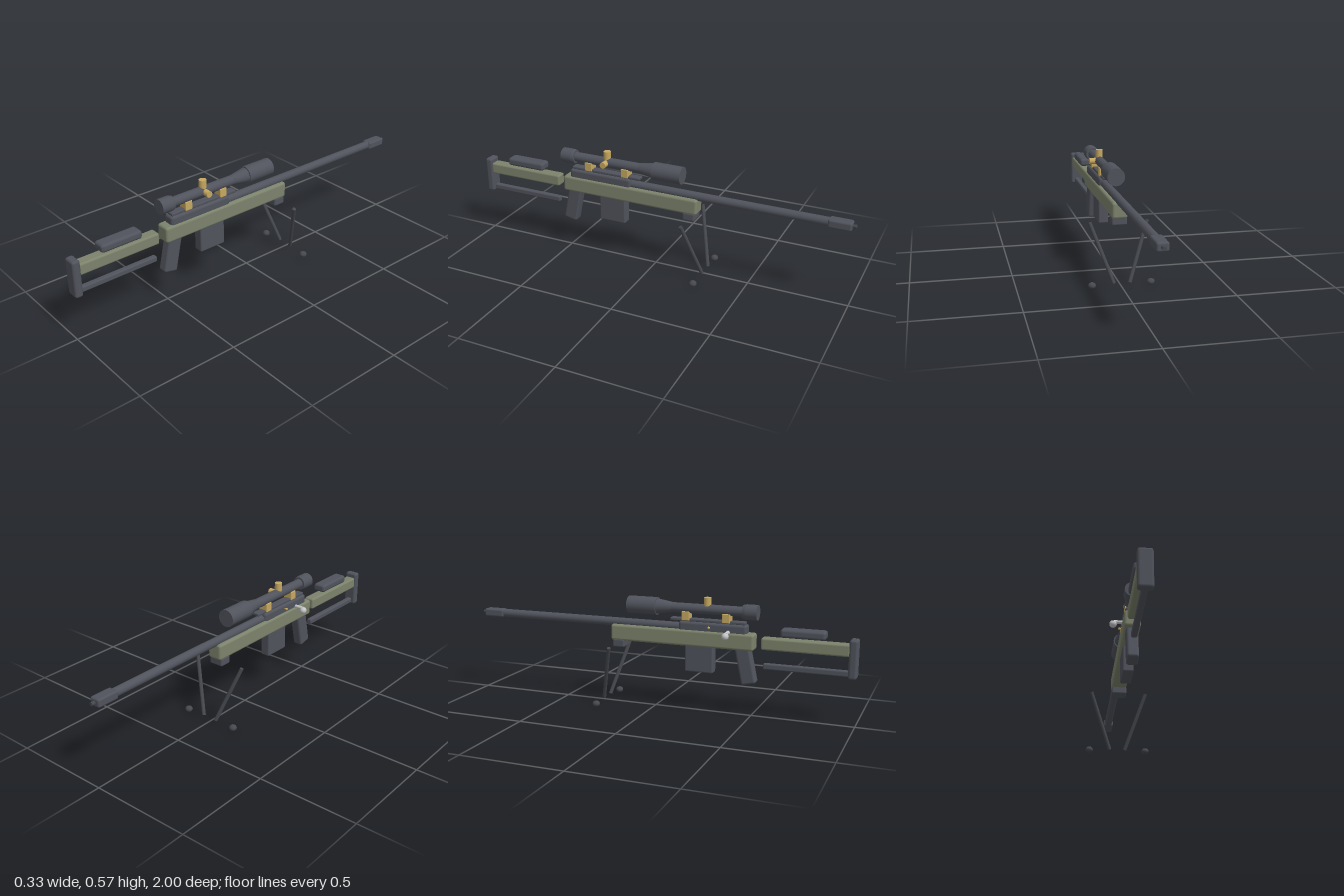
import * as THREE from 'three';
import { RoundedBoxGeometry } from 'three/addons/geometries/RoundedBoxGeometry.js';

export function createModel() {
  const model = new THREE.Group();
  model.name = 'scopedRifle';

  const material = (name, color) => {
    const m = new THREE.MeshStandardMaterial({ color });
    m.name = name;
    return m;
  };
  const gunmetal = material('gunmetal', 0x50535c);
  const charcoal = material('charcoal', 0x45484e);
  const olive = material('olive', 0x7c836c);
  const brass = material('brass', 0xc6a860);
  const steel = material('steel', 0xc3c5c8);

  function add(name, geometry, mat, x = 0, y = 0, z = 0) {
    const mesh = new THREE.Mesh(geometry, mat);
    mesh.name = name;
    mesh.position.set(x, y, z);
    model.add(mesh);
    return mesh;
  }

  // Box with bevelled edges, given by its width and its y and z ranges
  function block(name, mat, w, y0, y1, z0, z1, bevel = 0.008) {
    return add(name, new RoundedBoxGeometry(w, y1 - y0, z1 - z0, 2, bevel), mat,
      0, (y0 + y1) / 2, (z0 + z1) / 2);
  }

  // Cylinder between two points
  function rod(name, mat, a, b, radius, sides = 20) {
    const from = new THREE.Vector3(...a), to = new THREE.Vector3(...b);
    const dir = to.clone().sub(from);
    const mesh = add(name, new THREE.CylinderGeometry(radius, radius, dir.length(), sides), mat);
    mesh.position.copy(from).add(to).multiplyScalar(0.5);
    mesh.quaternion.setFromUnitVectors(new THREE.Vector3(0, 1, 0), dir.normalize());
    return mesh;
  }

  // Skeleton stock
  block('buttPlate', gunmetal, 0.068, 0.233, 0.42, 0.96, 1.0, 0.012);
  block('stockBeam', olive, 0.056, 0.337, 0.396, 0.545, 0.965, 0.01);
  block('cheekRest', gunmetal, 0.068, 0.405, 0.447, 0.638, 0.852, 0.014);
  block('stockStrut', gunmetal, 0.028, 0.24, 0.269, 0.555, 0.965, 0.007);

  // Body
  block('chassis', olive, 0.077, 0.327, 0.409, -0.232, 0.512, 0.013);
  block('receiver', gunmetal, 0.06, 0.39, 0.45, 0.13, 0.475, 0.014);
  block('magazine', gunmetal, 0.052, 0.197, 0.34, 0.163, 0.308, 0.008);
  const grip = block('grip', gunmetal, 0.054, 0.158, 0.345, 0.427, 0.501, 0.012);
  grip.position.z = 0.47;
  grip.rotation.x = -0.21;

  // Barrel and muzzle
  rod('barrel', gunmetal, [0, 0.417, 0.14], [0, 0.417, -0.9], 0.0215, 24);
  block('muzzleBrake', gunmetal, 0.055, 0.396, 0.438, -0.982, -0.87, 0.01);
  rod('muzzleTip', charcoal, [0, 0.417, -0.97], [0, 0.417, -1.0], 0.009);

  // Bolt handle on the right side
  rod('boltHandle', steel, [-0.02, 0.411, 0.385], [-0.075, 0.411, 0.385], 0.009);
  add('boltKnob', new THREE.SphereGeometry(0.0175, 24, 16), steel, -0.079, 0.4, 0.385);
  add('safetyButton', new THREE.SphereGeometry(0.0065, 16, 12), brass, -0.041, 0.428, 0.29);
  rod('safetyStem', brass, [-0.025, 0.428, 0.29], [-0.041, 0.428, 0.29], 0.003);

  // Scope rail and mounts
  block('scopeRail', gunmetal, 0.04, 0.448, 0.463, 0.083, 0.465, 0.005);
  for (const z of [0.37, 0.164]) block('scopeMount', brass, 0.05, 0.452, 0.498, z - 0.02, z + 0.02, 0.004);

  // Scope, turned around its long axis: one section per pair of rings [radius, z]
  const scopeY = 0.511;
  const scopeSections = {
    scopeObjective: [[0.044, -0.143], [0.044, 0.01]],
    scopeTaper: [[0.038, 0.01], [0.025, 0.09]],
    scopeTube: [[0.0245, 0.09], [0.0245, 0.46]],
    scopeEyepiece: [[0.034, 0.45], [0.0375, 0.465], [0.0375, 0.523]],
  };
  for (const [name, rings] of Object.entries(scopeSections)) {
    for (let i = 0; i < rings.length - 1; i++) {
      const [r0, z0] = rings[i], [r1, z1] = rings[i + 1];
      const part = add(name, new THREE.CylinderGeometry(r1, r0, z1 - z0, 32), gunmetal,
        0, scopeY, (z0 + z1) / 2);
      part.rotation.x = Math.PI / 2;
    }
  }
  rod('elevationTurret', brass, [0, scopeY + 0.015, 0.27], [0, 0.57, 0.27], 0.0185, 24);
  rod('windageTurret', brass, [0.015, scopeY, 0.27], [0.053, scopeY, 0.27], 0.016, 24);

  // Bipod
  block('bipodMount', gunmetal, 0.077, 0.292, 0.335, -0.222, -0.158, 0.009);
  for (const side of [1, -1]) {
    rod('bipodLeg', charcoal, [side * 0.142, 0.309, -0.195], [side * 0.039, 0.021, -0.272], 0.0095);
    const foot = add('bipodFoot', new THREE.SphereGeometry(0.016, 24, 16), charcoal,
      side * 0.145, 0.016, -0.267);
    foot.scale.set(1.18, 1, 1.18);
  }

  return model;
}
